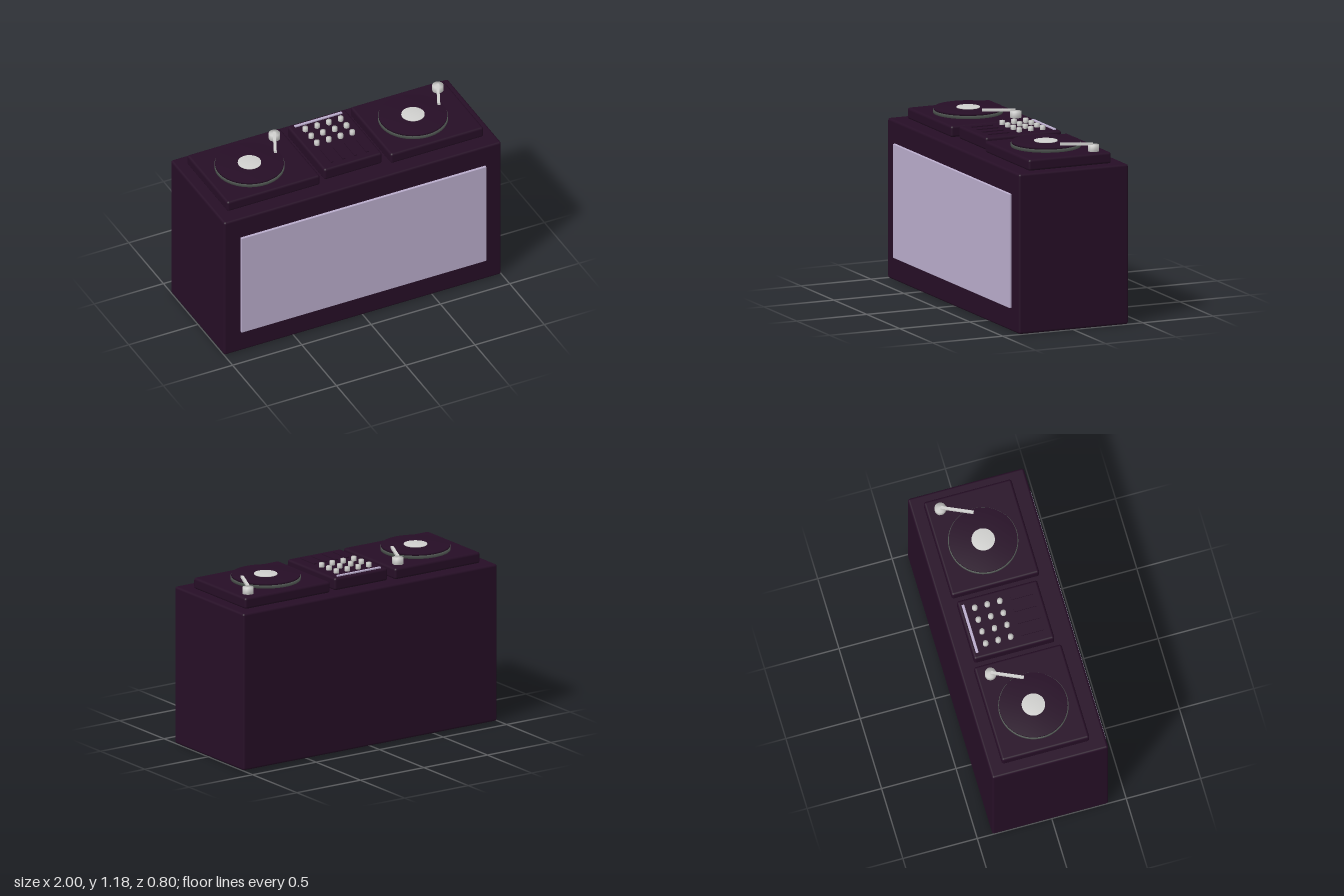
import * as THREE from 'three';
import { mergeVertices } from 'three/addons/utils/BufferGeometryUtils.js';
import { RoundedBoxGeometry } from 'three/addons/geometries/RoundedBoxGeometry.js';

const mat = (name, color) => {
  const m = new THREE.MeshStandardMaterial({ color });
  m.name = name;
  return m;
};

export function createModel() {
  const plum = mat('dark plum', 0x260e26);
  const lavender = mat('lavender', 0xb9accb);
  const steel = mat('platter grey', 0x4a504c);
  const silver = mat('silver', 0xd0d0ce);

  const model = new THREE.Group();
  model.name = 'djBooth';

  const add = (parent, name, geometry, material, x, y, z) => {
    const mesh = new THREE.Mesh(geometry, material);
    mesh.name = name;
    mesh.position.set(x, y, z);
    parent.add(mesh);
    return mesh;
  };

  // Rounded box given by its extents
  const block = (parent, name, material, [x0, x1], [y0, y1], [z0, z1], r) =>
    add(parent, name, new RoundedBoxGeometry(x1 - x0, y1 - y0, z1 - z0, 3, r), material,
      (x0 + x1) / 2, (y0 + y1) / 2, (z0 + z1) / 2);

  // Disc with soft normals over the rim, given by its bottom and top
  const disc = (parent, name, material, r, y0, y1, x, z, sides) => {
    const g = new THREE.CylinderGeometry(r, r, y1 - y0, sides);
    g.deleteAttribute('uv');
    g.deleteAttribute('normal');
    const soft = mergeVertices(g, 1e-4);
    soft.computeVertexNormals();
    return add(parent, name, soft, material, x, (y0 + y1) / 2, z);
  };

  // Booth with its front panel
  block(model, 'booth', plum, [-1, 1], [0, 1.055], [-0.398, 0.382], 0.015);
  block(model, 'frontPanel', lavender, [-0.884, 0.884], [0.153, 0.906], [0.378, 0.398], 0.004);

  // Two identical turntables
  for (const [side, x] of [['right', -0.59], ['left', 0.59]]) {
    const deck = new THREE.Group();
    deck.name = side + 'Turntable';
    deck.position.x = x;
    model.add(deck);
    block(deck, 'deckBody', plum, [-0.335, 0.335], [1.053, 1.128], [-0.312, 0.277], 0.016);

    // Platter, record and label
    disc(deck, 'platter', steel, 0.227, 1.12, 1.148, -0.031, -0.015, 64);
    disc(deck, 'record', plum, 0.222, 1.146, 1.16, -0.031, -0.015, 64);
    disc(deck, 'label', silver, 0.076, 1.158, 1.165, -0.031, -0.015, 32);

    // Tonearm swinging from its pivot
    disc(deck, 'tonearmPivot', silver, 0.037, 1.12, 1.17, 0.252, -0.222, 16);
    const arm = new THREE.BoxGeometry(0.019, 0.016, 0.215);
    arm.translate(0, 0, 0.1075);
    add(deck, 'tonearm', arm, silver, 0.25, 1.175, -0.22).rotation.y = -0.43;
  }

  // Mixer between the turntables
  const mixer = new THREE.Group();
  mixer.name = 'mixer';
  model.add(mixer);
  block(mixer, 'mixerBody', plum, [-0.21, 0.208], [1.053, 1.137], [-0.294, 0.246], 0.016);
  block(mixer, 'displayStrip', lavender, [-0.172, 0.17], [1.133, 1.146], [-0.272, -0.254], 0.003);
  for (let col = 0; col < 4; col++) {
    const x = -0.128 + col * 0.085;
    for (let row = 0; row < 3; row++) {
      disc(mixer, 'knob', silver, 0.018, 1.13, 1.165, x, -0.195 + row * 0.084, 12);
    }
    add(mixer, 'fader', new THREE.BoxGeometry(0.02, 0.012, 0.15), plum, x, 1.138, 0.12);
  }
  return model;
}
